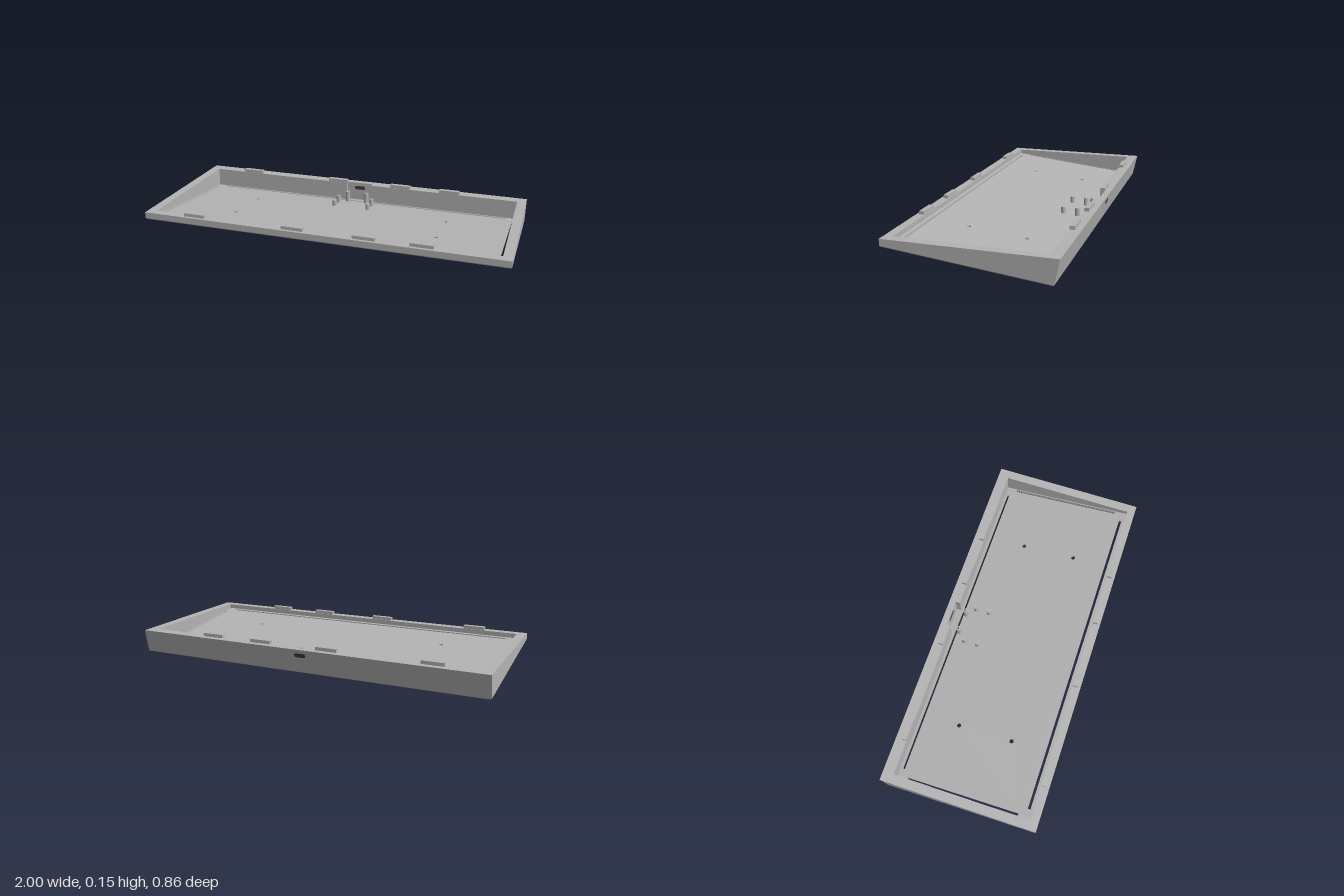
import * as THREE from 'three';

const TOP = 0.13;
// height of the sloping underside at a given z
const slope = (z) => 0.108 * (z + 0.402);

// path through [x, z] points (drawn as x, -z so that it can be laid flat)
const path = (pts, Type = THREE.Path) => new Type(pts.map(([x, z]) => new THREE.Vector2(x, -z)));
const rect = (x0, x1, z0, z1) => [[x0, z1], [x1, z1], [x1, z0], [x0, z0]];
const octagon = (x, z0, z1, c) => [
  [-x + c, z1], [x - c, z1], [x, z1 - c], [x, z0 + c],
  [x - c, z0], [-x + c, z0], [-x, z0 + c], [-x, z1 - c],
];
const circle = (x, z, r, n = 20) => Array.from({ length: n }, (_, i) => {
  const a = (i / n) * Math.PI * 2;
  return [x + r * Math.cos(a), z + r * Math.sin(a)];
});

// flat plate with holes, sheared to follow the slope of the underside
function slopedPlate(outline, holes, h0, h1) {
  const shape = path(outline, THREE.Shape);
  shape.holes = holes.map((h) => path(h));
  const geo = new THREE.ExtrudeGeometry(shape, { depth: h1 - h0, bevelEnabled: false });
  geo.rotateX(-Math.PI / 2);
  const p = geo.attributes.position;
  for (let i = 0; i < p.count; i++) p.setY(i, p.getY(i) + h0 + slope(p.getZ(i)));
  geo.computeVertexNormals();
  return geo;
}

// four walls as one band of cross-sections: chamfer, outside, rim, inside
function wallGeometry() {
  const N = 0.077;
  const outer = (x, front, back) => [[-x, front], [x, front], [x, back], [N, back], [N, back],
    [-N, back], [-N, back], [-x, back]];
  const inner = [[-0.95, 0.385], [0.95, 0.385], [0.95, -0.37], [N, -0.37], [N, -0.395],
    [-N, -0.395], [-N, -0.37], [-0.95, -0.37]];
  const onSlope = (pts, h) => pts.map(([x, z]) => [x, slope(z) + h, z]);
  const onTop = (pts) => pts.map(([x, z]) => [x, TOP, z]);
  const rings = [
    onSlope(outer(0.994, 0.425, -0.4), 0),
    onSlope(outer(1, 0.43, -0.404), 0.006),
    onTop(outer(1, 0.43, -0.43)),
    onTop(inner),
    onSlope(inner, 0.018),
  ];
  const v = [];
  for (let k = 0; k < rings.length - 1; k++) {
    for (let i = 0; i < 8; i++) {
      const j = (i + 1) % 8;
      const [a, b, c, d] = [rings[k][i], rings[k][j], rings[k + 1][j], rings[k + 1][i]];
      v.push(...a, ...b, ...c, ...a, ...c, ...d);
    }
  }
  const geo = new THREE.BufferGeometry();
  geo.setAttribute('position', new THREE.Float32BufferAttribute(v, 3));
  geo.computeVertexNormals();
  return geo;
}

export function createModel() {
  const model = new THREE.Group();
  const grey = new THREE.MeshStandardMaterial({ color: 0xb4b4b4, flatShading: true });
  grey.name = 'grey plastic';
  const dark = new THREE.MeshStandardMaterial({ color: 0x404040 });
  dark.name = 'dark opening';
  const add = (name, geo, mat = grey) => {
    const mesh = new THREE.Mesh(geo, mat);
    mesh.name = name;
    model.add(mesh);
    return mesh;
  };

  add('walls', wallGeometry());

  // screw holes through the floor
  const screwHoles = [];
  for (const x of [-0.58, 0.58]) for (const z of [-0.145, 0.16]) screwHoles.push(circle(x, z, 0.012));

  // inner floor with long slots near each wall
  const slots = [
    rect(-0.895, 0.895, -0.357, -0.345), rect(-0.895, 0.895, 0.354, 0.368),
    rect(-0.945, -0.933, -0.31, 0.315), rect(0.933, 0.945, -0.31, 0.315),
  ];
  add('floor', slopedPlate(rect(-0.97, 0.97, -0.397, 0.405), [...slots, ...screwHoles], 0.006, 0.02));

  // underside skin: outer rim, groove, then centre with shallow recesses
  add('undersideRim', slopedPlate(rect(-0.994, 0.994, -0.4, 0.425),
    [octagon(0.946, -0.358, 0.369, 0.02)], 0, 0.006));
  const footRecesses = [];
  for (const x of [-0.875, 0.875]) for (const z of [-0.295, 0.305]) footRecesses.push(circle(x, z, 0.03, 28));
  add('undersidePanel', slopedPlate(octagon(0.932, -0.344, 0.353, 0.02),
    [octagon(0.725, -0.245, 0.27, 0.085), ...footRecesses], 0, 0.006));

  // locating tabs along the front and back rims
  for (const x of [-0.705, -0.135, 0.255, 0.555]) {
    for (const z of [0.401, -0.384]) {
      add('rimTab', new THREE.BoxGeometry(0.12, 0.02, 0.026)).position.set(x, TOP + 0.008, z);
    }
  }

  // hollow mounting posts for the circuit board
  for (const side of [-1, 1]) {
    for (const [x, z, h] of [[0.058, -0.332, 0.065], [0.103, -0.285, 0.045], [0.103, -0.205, 0.038]]) {
      const ring = path(circle(0, 0, 0.013), THREE.Shape);
      ring.holes.push(path(circle(0, 0, 0.006, 12)));
      const geo = new THREE.ExtrudeGeometry(ring, { depth: h, bevelEnabled: false });
      geo.rotateX(-Math.PI / 2);
      add('mountingPost', geo).position.set(side * x, slope(z) + 0.018, z);
    }
  }

  // cable port in the back wall, seen from outside and inside
  const port = new THREE.Shape();
  port.absarc(0.022, 0, 0.011, -Math.PI / 2, Math.PI / 2);
  port.absarc(-0.022, 0, 0.011, Math.PI / 2, Math.PI * 1.5);
  const portGeo = new THREE.ExtrudeGeometry(port, { depth: 0.002, bevelEnabled: false });
  const outside = add('cablePortOutside', portGeo, dark);
  const y = 0.098;
  const lean = Math.atan2(0.026, TOP - 0.0058);
  outside.position.set(0, y, -0.404 - 0.026 * (y - 0.0058) / (TOP - 0.0058) - 0.0015);
  outside.rotation.x = -lean;
  add('cablePortInside', portGeo, dark).position.set(0, y, -0.3955);

  return model;
}
